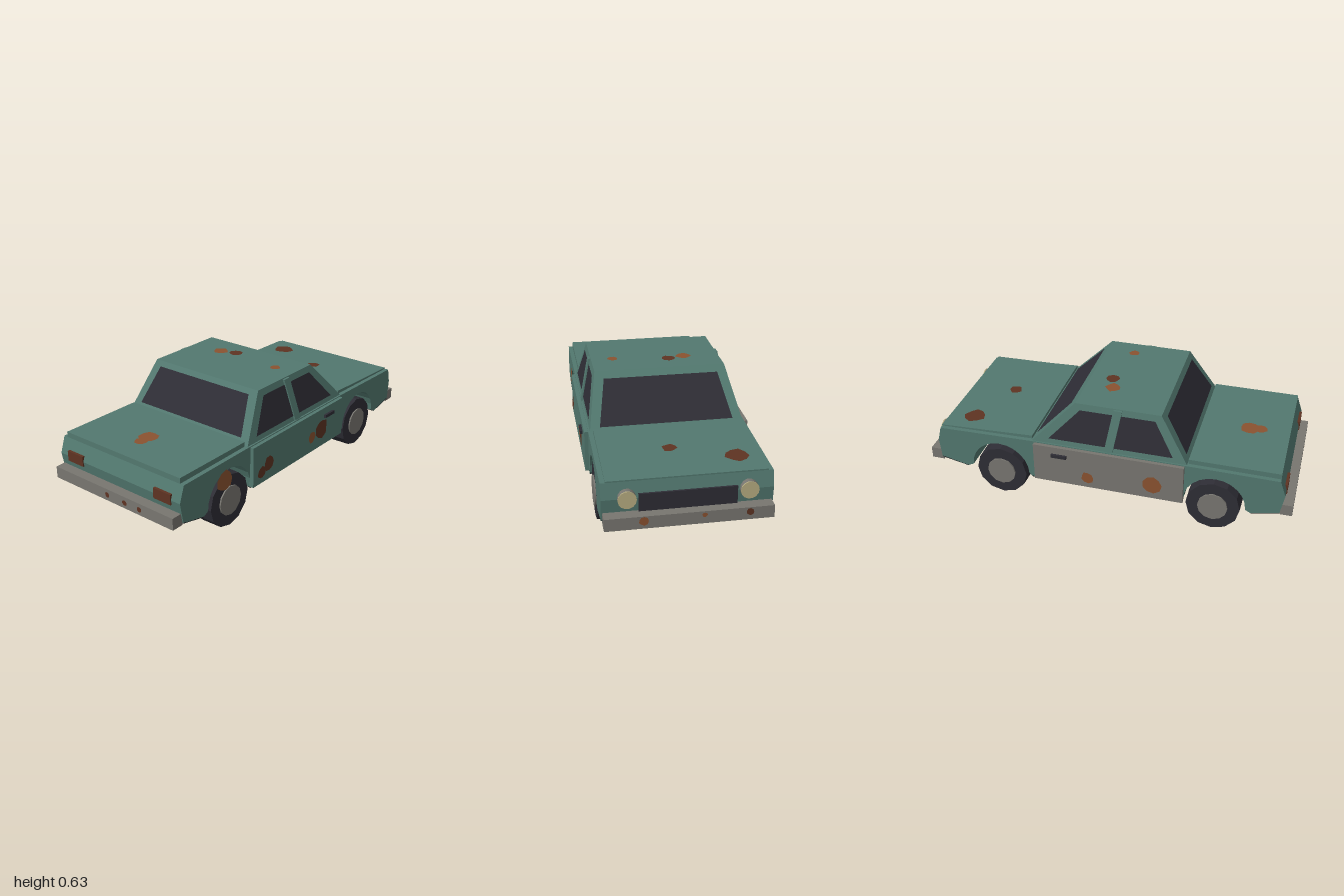
import * as THREE from 'three';

const mat = (name, color, side = THREE.FrontSide) => {
  const m = new THREE.MeshStandardMaterial({ color, side });
  m.name = name;
  return m;
};

export function createModel() {
  const paint = mat('teal paint', 0x52786f);
  const dark = mat('dark glass and rubber', 0x2e2d35, THREE.DoubleSide);
  const black = mat('underside black', 0x1b1b1e);
  const grey = mat('bare metal', 0x787670);
  const cream = mat('lamp cream', 0xb8ae82);
  const rust = mat('rust', 0x8a5230, THREE.DoubleSide);
  const darkRust = mat('dark rust', 0x5e3322, THREE.DoubleSide);

  const car = new THREE.Group();
  car.name = 'car';
  const add = (name, geo, material, x = 0, y = 0, z = 0) => {
    const m = new THREE.Mesh(geo, material);
    m.name = name;
    m.position.set(x, y, z);
    car.add(m);
    return m;
  };
  // box from its limits on each axis
  const box = (name, material, x0, x1, y0, y1, z0, z1) =>
    add(name, new THREE.BoxGeometry(x1 - x0, y1 - y0, z1 - z0), material,
      (x0 + x1) / 2, (y0 + y1) / 2, (z0 + z1) / 2);
  // side profile extruded across the car
  const across = (name, material, pts, halfWidth) => {
    const shape = new THREE.Shape(pts.map(p => new THREE.Vector2(p[0], p[1])));
    const geo = new THREE.ExtrudeGeometry(shape, { depth: halfWidth * 2, bevelEnabled: false });
    return add(name, geo.translate(0, 0, -halfWidth), material);
  };

  // lower body with two wheel arches
  const arch = cx => Array.from({ length: 13 }, (_, i) => {
    const a = Math.PI * (1 - i / 12);
    return [cx + 0.164 * Math.cos(a), 0.163 + 0.164 * Math.sin(a)];
  });
  const W = 0.412;
  across('body', paint, [
    [-0.925, 0.376], [-0.955, 0.29], [-0.935, 0.18], [-0.79, 0.147],
    ...arch(-0.597), [-0.43, 0.147], [0.405, 0.147], ...arch(0.585), [0.78, 0.147],
    [0.935, 0.18], [0.945, 0.29], [0.925, 0.37], [0.4, 0.38], [-0.45, 0.38],
  ], W);

  // dark underside plates
  const under = (x0, y0, x1, y1) => across('underside', black,
    [[x0, y0 - 0.003], [x1, y1 - 0.003], [x1, y1 + 0.002], [x0, y0 + 0.002]], W);
  under(-0.43, 0.147, 0.405, 0.147);
  under(-0.935, 0.18, -0.79, 0.147);
  under(0.78, 0.147, 0.935, 0.18);

  // bonnet and boot lid
  across('bonnet', paint, [[0.4, 0.37], [0.925, 0.36], [0.925, 0.377], [0.4, 0.398]], 0.388);
  box('bootLid', paint, -0.925, -0.45, 0.37, 0.405, -0.388, 0.388);

  // cabin: box with corners drawn in towards the roof
  const Y0 = 0.38, Y1 = 0.62;
  const lerp = (a, b, y) => a + (b - a) * (y - Y0) / (Y1 - Y0);
  const rearX = y => lerp(-0.445, -0.295, y);
  const frontX = y => lerp(0.397, 0.165, y);
  const sideZ = y => lerp(0.403, 0.35, y);
  let cabin = new THREE.BoxGeometry(1, 1, 1).toNonIndexed();
  const p = cabin.attributes.position;
  for (let i = 0; i < p.count; i++) {
    const y = p.getY(i) > 0 ? Y1 : Y0;
    p.setXYZ(i, p.getX(i) > 0 ? frontX(y) : rearX(y), y, Math.sign(p.getZ(i)) * sideZ(y));
  }
  cabin.computeVertexNormals();
  add('cabin', cabin, paint);

  // thin window panes
  const pane = (name, c) => {
    const geo = new THREE.BufferGeometry();
    geo.setAttribute('position', new THREE.Float32BufferAttribute(c.flat(), 3));
    geo.setIndex([0, 1, 2, 0, 2, 3]);
    geo.computeVertexNormals();
    add(name, geo, dark);
  };
  const endPane = (name, xAt, out, lo, hi) => pane(name, [
    [xAt(lo) + out, lo, 0.35], [xAt(lo) + out, lo, -0.35],
    [xAt(hi) + out, hi, -0.305], [xAt(hi) + out, hi, 0.305]]);
  endPane('windscreen', frontX, 0.005, 0.398, 0.59);
  endPane('rearWindow', rearX, -0.005, 0.41, 0.595);

  for (const s of [1, -1]) {
    const sidePane = (name, a, b, c, d) => {
      const at = (x, y) => [x, y, s * (sideZ(y) + 0.004)];
      const q = [at(a, 0.408), at(b, 0.408), at(c, 0.587), at(d, 0.587)];
      pane(name, s > 0 ? q : q.reverse());
    };
    sidePane('rearSideWindow', -0.37, -0.05, -0.085, -0.265);
    sidePane('frontSideWindow', -0.01, 0.303, 0.137, -0.05);

    // door pillar, leaning with the cabin side
    const pillar = new THREE.BoxGeometry(0.046, 0.23, 0.02).toNonIndexed();
    const v = pillar.attributes.position;
    for (let i = 0; i < v.count; i++) {
      const y = v.getY(i) + 0.5;
      v.setXYZ(i, v.getX(i) - 0.047 - v.getY(i) * 0.17, y, v.getZ(i) + s * (sideZ(y) + 0.002));
    }
    pillar.computeVertexNormals();
    add('doorPillar', pillar, paint);

    // doors and handles
    const span = (a, b) => s > 0 ? [a, b] : [-b, -a];
    box('door', s > 0 ? paint : grey, -0.435, 0.382, 0.152, 0.375, ...span(0.405, 0.432));
    box('doorHandle', dark, 0.195, 0.28, 0.317, 0.335, ...span(0.43, 0.445));

    // wheels and hubcaps
    for (const x of [-0.59, 0.585]) {
      const tyre = new THREE.CylinderGeometry(0.143, 0.145, 0.112, 12);
      const wheel = add('wheel', tyre.toNonIndexed(), dark, x, 0.145, s * 0.349);
      wheel.geometry.computeVertexNormals();
      const hub = add('hubcap', new THREE.CylinderGeometry(0.08, 0.08, 0.012, 12), grey, x, 0.145, s * 0.407);
      wheel.rotation.x = hub.rotation.x = s * Math.PI / 2;
    }

    // headlamps and tail lamps
    const rim = add('headlampRim', new THREE.CylinderGeometry(0.045, 0.045, 0.035, 14), grey, 0.944, 0.293, s * 0.291);
    const lens = add('headlampLens', new THREE.CylinderGeometry(0.045, 0.045, 0.006, 14), cream, 0.963, 0.293, s * 0.291);
    rim.rotation.z = lens.rotation.z = -Math.PI / 2;
    box('tailLamp', darkRust, -0.959, -0.93, 0.265, 0.32, s * 0.3 - 0.055, s * 0.3 + 0.055);
  }

  // grille and bumpers
  box('grille', dark, 0.92, 0.95, 0.215, 0.312, -0.236, 0.236);
  box('frontBumper', grey, 0.93, 1, 0.157, 0.221, -0.405, 0.405);
  box('rearBumper', grey, -1, -0.935, 0.168, 0.231, -0.405, 0.405);

  // irregular rust patches: material, x, y, z, radius
  let seed = 7;
  const rand = () => (seed = (seed * 16807) % 2147483647) / 2147483647;
  const patches = (rx, ry, list) => list.forEach(([m, x, y, z, r], n) => {
    const geo = new THREE.CircleGeometry(r, 9);
    const q = geo.attributes.position;
    for (let i = 1; i < q.count - 1; i++) {
      const k = 0.85 + rand() * 0.25;
      q.setXY(i, q.getX(i) * k, q.getY(i) * k);
    }
    q.setXY(q.count - 1, q.getX(1), q.getY(1));
    add('rustPatch', geo, m, x, y, z).rotation.set(rx, ry, 0);
    car.children.at(-1).translateZ(n * 0.0006);
  });
  const H = Math.PI / 2;
  patches(0, 0, [
    [darkRust, 0.17, 0.258, 0.435, 0.057], [rust, 0.08, 0.24, 0.435, 0.033],
    [darkRust, -0.31, 0.245, 0.435, 0.04], [darkRust, -0.37, 0.215, 0.435, 0.033],
    [rust, -0.64, 0.277, 0.416, 0.057]]);
  patches(0, Math.PI, [[rust, 0.083, 0.215, -0.435, 0.035], [rust, -0.27, 0.24, -0.435, 0.055]]);
  patches(-H, 0, [
    [rust, -0.71, 0.408, -0.02, 0.052], [rust, -0.77, 0.408, -0.015, 0.036],
    [rust, 0.015, 0.623, -0.155, 0.042], [darkRust, 0.042, 0.623, -0.07, 0.037],
    [rust, 0, 0.623, 0.235, 0.03]]);
  patches(-H, 0.04, [[darkRust, 0.78, 0.386, -0.27, 0.06], [darkRust, 0.66, 0.391, 0.04, 0.037]]);
  patches(0, H, [
    [rust, 1.001, 0.197, 0.22, 0.024], [rust, 1.001, 0.203, -0.068, 0.013],
    [darkRust, 1.001, 0.198, -0.285, 0.018]]);
  patches(0, -H, [
    [darkRust, -1.001, 0.2, -0.03, 0.015], [darkRust, -1.001, 0.2, 0.09, 0.015],
    [darkRust, -1.001, 0.2, 0.19, 0.015]]);

  return car;
}
